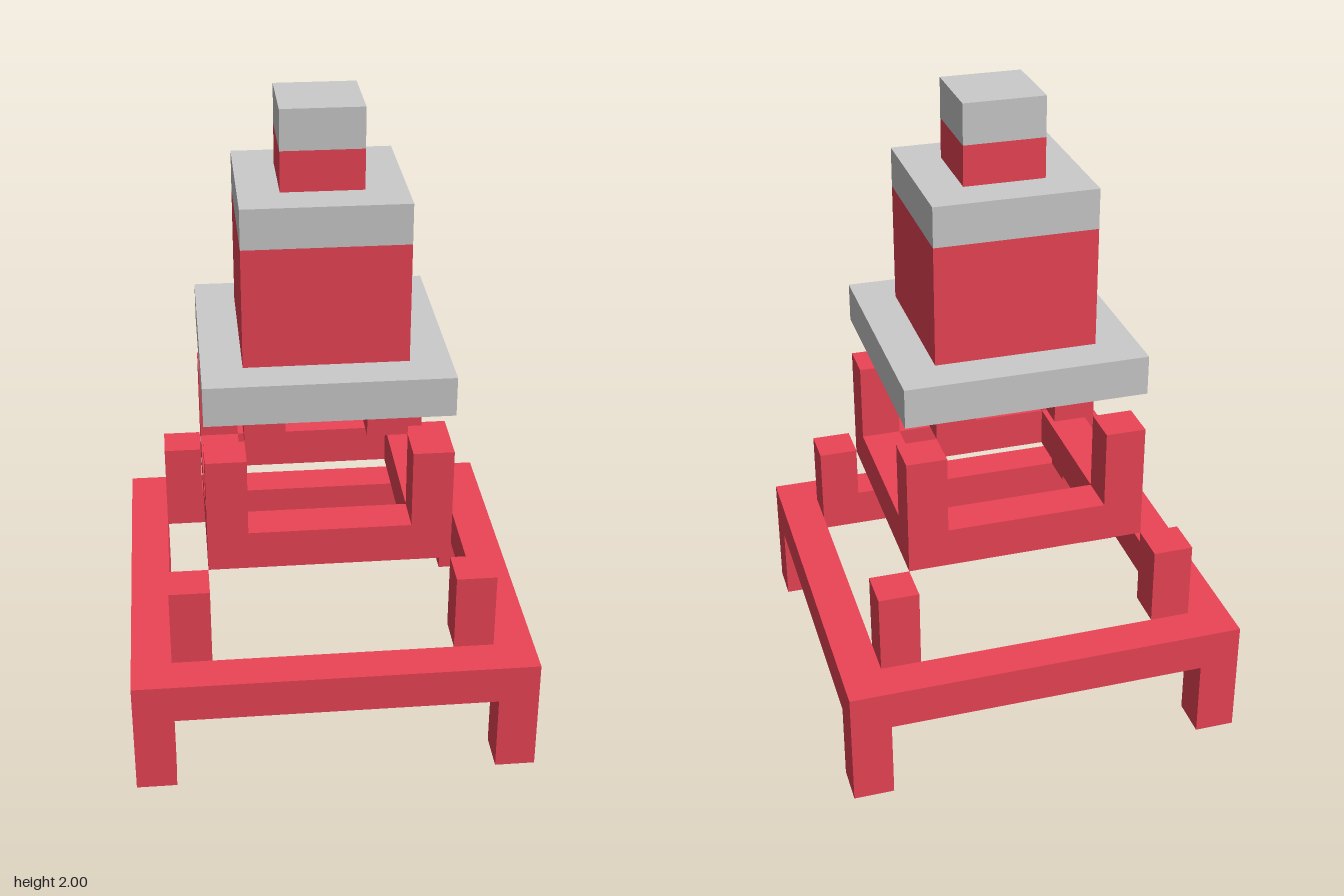
import * as THREE from 'three';

const U = 0.125; // common beam thickness
const red = new THREE.MeshStandardMaterial({ color: 0xed4456 });
const grey = new THREE.MeshStandardMaterial({ color: 0xcccccc });

// Square block of half-width h between heights y0 and y1
function block(name, h, y0, y1, material, x = 0, z = 0) {
  const mesh = new THREE.Mesh(new THREE.BoxGeometry(2 * h, y1 - y0, 2 * h), material);
  mesh.position.set(x, (y0 + y1) / 2, z);
  mesh.name = name;
  return mesh;
}

// Four corner posts whose outer faces lie at distance outer from the axis
function posts(name, outer, y0, y1) {
  const group = new THREE.Group();
  group.name = name;
  const c = outer - U / 2;
  for (const sx of [-1, 1])
    for (const sz of [-1, 1]) group.add(block(name + 'Post', U / 2, y0, y1, red, sx * c, sz * c));
  return group;
}

function square(target, h) {
  return target.moveTo(-h, -h).lineTo(h, -h).lineTo(h, h).lineTo(-h, h).closePath();
}

// Square frame of beams, open in the middle
function frame(name, outer, y0) {
  const shape = square(new THREE.Shape(), outer);
  shape.holes.push(square(new THREE.Path(), outer - U));
  const geometry = new THREE.ExtrudeGeometry(shape, { depth: U, bevelEnabled: false });
  geometry.rotateX(-Math.PI / 2);
  const mesh = new THREE.Mesh(geometry, red);
  mesh.position.y = y0;
  mesh.name = name;
  return mesh;
}

export function createModel() {
  const model = new THREE.Group();
  model.name = 'tower';
  model.add(
    // Open lattice base, stepping inwards
    posts('leg', 0.625, 0, 0.25),
    frame('lowerFrame', 0.625, 0.25),
    posts('lower', 0.5, 0.375, 0.625),
    frame('upperFrame', 0.375, 0.625),
    posts('upper', 0.375, 0.75, 1),
    posts('platformSupport', 0.25, 1, 1.125),
    // Platform, cabin and lantern
    block('platform', 0.375, 1.125, 1.25, grey),
    block('cabin', 0.25, 1.25, 1.625, red),
    block('cabinRoof', 0.25, 1.625, 1.75, grey),
    block('lantern', 0.125, 1.75, 1.875, red),
    block('lanternCap', 0.125, 1.875, 2, grey),
  );
  return model;
}
